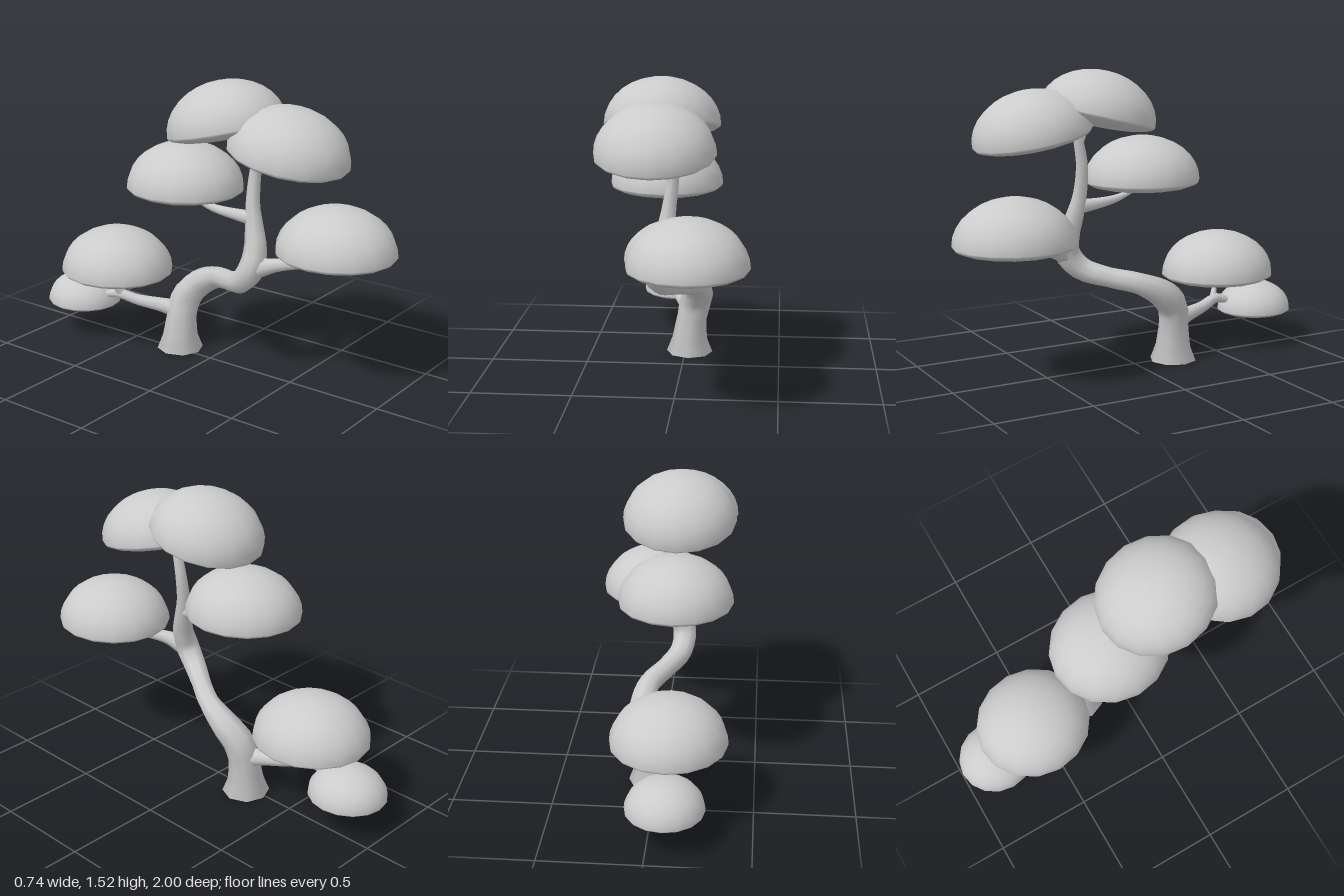
import * as THREE from 'three';

const material = new THREE.MeshStandardMaterial({ color: 0xcccccc });

// Tapered limb: each point is [x, y, z, radius]
function limb(name, points, segments = 10, sides = 8) {
  const curve = new THREE.CatmullRomCurve3(points.map(p => new THREE.Vector3(p[0], p[1], p[2])));
  const geometry = new THREE.TubeGeometry(curve, segments, 1, sides);
  const pos = geometry.attributes.position;
  const v = new THREE.Vector3();
  for (let i = 0; i <= segments; i++) {
    const u = i / segments;
    const center = curve.getPointAt(u);
    const t = curve.getUtoTmapping(u) * (points.length - 1);
    const k = Math.min(Math.floor(t), points.length - 2);
    const radius = THREE.MathUtils.lerp(points[k][3], points[k + 1][3], t - k);
    for (let j = 0; j <= sides; j++) {
      const n = i * (sides + 1) + j;
      v.fromBufferAttribute(pos, n).sub(center).multiplyScalar(radius).add(center);
      pos.setXYZ(n, v.x, Math.max(v.y, 0), v.z);
    }
  }
  const mesh = new THREE.Mesh(geometry, material);
  mesh.name = name;
  return mesh;
}

// Flat cap over the first ring of a limb
function startCap(mesh, center, sides = 8) {
  const geometry = new THREE.CircleGeometry(1, sides);
  const ring = mesh.geometry.attributes.position;
  const pos = geometry.attributes.position;
  pos.setXYZ(0, ...center);
  for (let j = 0; j <= sides; j++) pos.setXYZ(j + 1, ring.getX(j), ring.getY(j), ring.getZ(j));
  geometry.computeVertexNormals();
  const cap = new THREE.Mesh(geometry, material);
  cap.name = 'trunkBase';
  return cap;
}

// Foliage pad: tall dome above the rim, shallow bowl below it
const profile = [];
for (let i = 0; i <= 16; i++) {
  const a = -Math.PI / 2 + (i / 16) * Math.PI;
  const y = Math.sin(a) * (a < 0 ? 0.055 : 0.23);
  profile.push(new THREE.Vector2(i % 16 ? Math.cos(a) * 0.302 : 0, y));
}
const padGeometry = new THREE.LatheGeometry(profile, 16);

function foliage(name, x, y, z, scale = 1, tilt = 0) {
  const pad = new THREE.Mesh(padGeometry, material);
  pad.name = name;
  pad.position.set(x, y, z);
  pad.scale.set(0.95 * scale, scale, scale);
  pad.rotation.x = tilt;
  return pad;
}

export function createModel() {
  const tree = new THREE.Group();
  tree.name = 'bonsaiTree';

  // Leaning S-shaped trunk with a flared foot
  const trunk = limb('trunk', [
    [0.022, 0, -0.218, 0.122], [0.024, 0.08, -0.217, 0.092], [0.035, 0.19, -0.213, 0.078],
    [0.055, 0.29, -0.195, 0.083], [0.078, 0.37, -0.125, 0.075], [0.06, 0.435, 0, 0.056],
    [-0.02, 0.47, 0.14, 0.052], [-0.09, 0.515, 0.26, 0.06], [-0.105, 0.6, 0.33, 0.066],
    [-0.08, 0.69, 0.335, 0.058], [-0.055, 0.8, 0.31, 0.046], [-0.04, 0.9, 0.29, 0.036],
    [-0.02, 1.05, 0.287, 0.03], [-0.015, 1.19, 0.31, 0.025],
  ], 40);
  tree.add(trunk, startCap(trunk, [0.022, 0, -0.218]));

  // Side branches
  tree.add(
    limb('frontBranch', [[-0.1, 0.6, 0.34, 0.055], [-0.065, 0.63, 0.44, 0.036],
      [-0.005, 0.642, 0.55, 0.025], [0.055, 0.638, 0.65, 0.012]]),
    limb('middleBranch', [[-0.05, 0.84, 0.3, 0.04], [-0.06, 0.845, 0.2, 0.03],
      [-0.075, 0.86, 0.07, 0.021], [-0.085, 0.9, -0.06, 0.008]]),
    limb('lowerBranch', [[0.03, 0.21, -0.22, 0.055], [0.0, 0.225, -0.32, 0.04],
      [-0.05, 0.24, -0.45, 0.03], [-0.085, 0.265, -0.55, 0.027],
      [-0.09, 0.245, -0.63, 0.02], [-0.088, 0.21, -0.74, 0.01]], 14),
  );

  // Twigs reaching into the foliage
  tree.add(
    limb('frontTwig', [[0.0, 0.64, 0.56, 0.022], [0.05, 0.65, 0.61, 0.016], [0.08, 0.69, 0.65, 0.008]], 5),
    limb('lowerTwig', [[-0.08, 0.26, -0.53, 0.022], [-0.11, 0.31, -0.555, 0.014], [-0.145, 0.38, -0.6, 0.012]], 5),
    limb('topFrontTwig', [[-0.015, 1.17, 0.305, 0.026], [-0.03, 1.21, 0.33, 0.018], [-0.05, 1.26, 0.37, 0.01]], 5),
    limb('topBackTwig', [[-0.015, 1.17, 0.305, 0.026], [-0.025, 1.22, 0.27, 0.018], [-0.05, 1.28, 0.2, 0.01]], 5),
  );

  // Foliage pads
  tree.add(
    foliage('frontFoliage', 0.08, 0.71, 0.698),
    foliage('topFrontFoliage', -0.085, 1.2, 0.52, 1, 0.19),
    foliage('topBackFoliage', -0.085, 1.285, 0.165, 1, -0.24),
    foliage('middleFoliage', -0.085, 0.945, -0.092),
    foliage('lowerFoliage', -0.085, 0.408, -0.557),
    foliage('smallFoliage', -0.085, 0.184, -0.798, 0.67),
  );

  return tree;
}
